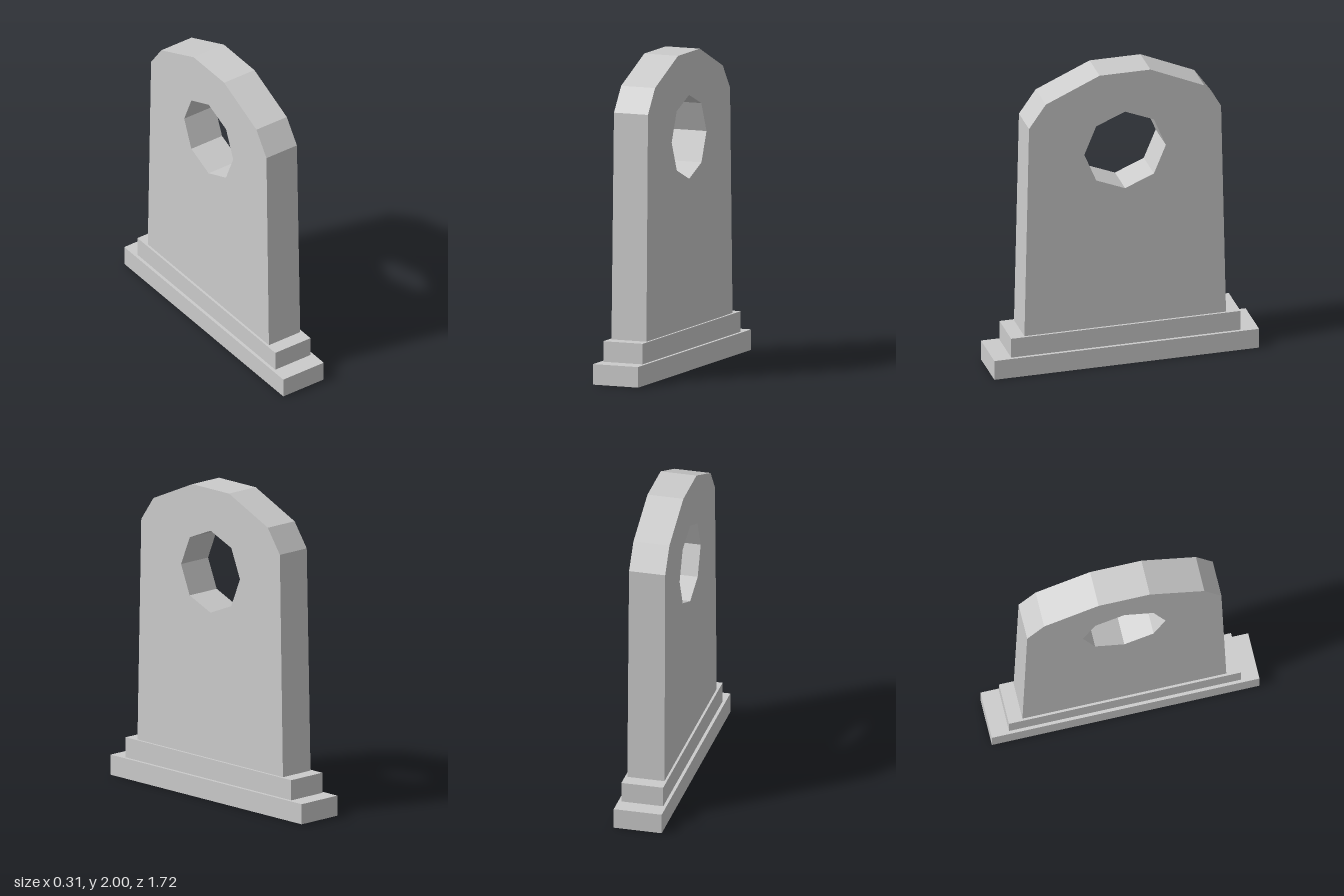
import * as THREE from 'three';

const material = new THREE.MeshStandardMaterial({
  color: 0xcccccc, flatShading: true, side: THREE.DoubleSide,
});

function part(name, geometry) {
  const mesh = new THREE.Mesh(geometry, material);
  mesh.name = name;
  return mesh;
}

// Open shell joining rectangular rings [half x, half z, y], listed from the bottom up
function ringShell(rings) {
  const signs = [[1, 1], [1, -1], [-1, -1], [-1, 1]];
  const corner = ([hx, hz, y], k) => [signs[k % 4][0] * hx, y, signs[k % 4][1] * hz];
  const positions = [];
  for (let i = 0; i < rings.length - 1; i++) {
    for (let k = 0; k < 4; k++) {
      const a = corner(rings[i], k), b = corner(rings[i], k + 1);
      const c = corner(rings[i + 1], k + 1), d = corner(rings[i + 1], k);
      positions.push(...a, ...b, ...c, ...a, ...c, ...d);
    }
  }
  const geometry = new THREE.BufferGeometry();
  geometry.setAttribute('position', new THREE.Float32BufferAttribute(positions, 3));
  geometry.computeVertexNormals();
  return geometry;
}

// Upright slab with a faceted arch top, an octagonal hole and an open, hollow foot
function slabGeometry() {
  const foot = 0.26, halfFoot = 0.12, halfTop = 0.116;
  const half = [[0.655, foot], [0.624, 1.69], [0.515, 1.845], [0.165, 2]];
  const mirrored = half.map(([u, y]) => [-u, y]).reverse();
  const shape = new THREE.Shape([...half, ...mirrored].map(p => new THREE.Vector2(...p)));

  const hole = [];
  for (let i = 0; i < 8; i++) {
    const angle = -i * Math.PI / 4;
    hole.push(new THREE.Vector2(0.265 * Math.cos(angle), 1.465 + 0.265 * Math.sin(angle)));
  }
  shape.holes.push(new THREE.Path(hole));

  const solid = new THREE.ExtrudeGeometry(shape, { depth: 2, bevelEnabled: false });
  solid.translate(0, 0, -1).rotateY(Math.PI / 2);
  const flat = solid.index ? solid.toNonIndexed() : solid;
  const p = flat.attributes.position;

  // Taper the thickness with height and leave out the underside
  const positions = [];
  for (let t = 0; t < p.count; t += 3) {
    const ids = [t, t + 1, t + 2];
    if (ids.every(i => p.getY(i) < foot + 0.001)) continue;
    for (const i of ids) {
      const y = p.getY(i);
      const thickness = THREE.MathUtils.mapLinear(y, foot, 2, halfFoot, halfTop);
      positions.push(p.getX(i) * thickness, y, p.getZ(i));
    }
  }
  const geometry = new THREE.BufferGeometry();
  geometry.setAttribute('position', new THREE.Float32BufferAttribute(positions, 3));
  geometry.computeVertexNormals();
  return geometry;
}

export function createModel() {
  const group = new THREE.Group();
  group.name = 'headstone';

  // Two hollow plinth steps, each with walls and a ledge
  group.add(part('lowerStep', ringShell([[0.155, 0.86, 0], [0.155, 0.86, 0.13], [0.135, 0.745, 0.13]])));
  group.add(part('upperStep', ringShell([[0.135, 0.745, 0.13], [0.135, 0.745, 0.26], [0.12, 0.655, 0.26]])));

  group.add(part('archedSlab', slabGeometry()));
  return group;
}
